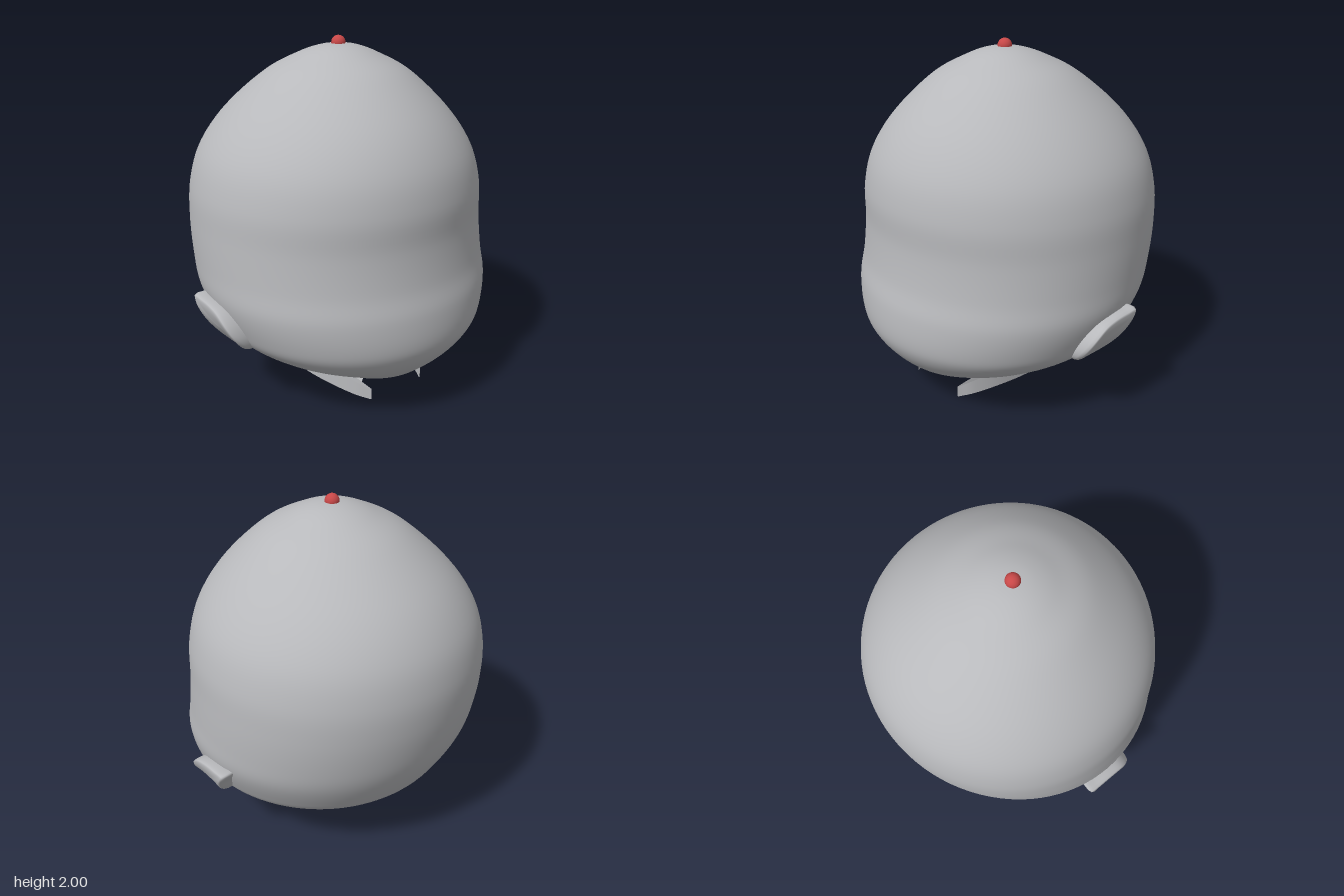
import * as THREE from 'three';
import { toCreasedNormals } from 'three/addons/utils/BufferGeometryUtils.js';

const V = (x, y, z) => new THREE.Vector3(x, y, z);

// Skin a list of equally long point rows, optionally closing each row into a ring
function loft(rows, closed) {
  const n = rows[0].length, index = [];
  for (let r = 0; r < rows.length - 1; r++) {
    for (let i = 0; i < (closed ? n : n - 1); i++) {
      const j = (i + 1) % n, a = r * n, b = a + n;
      index.push(a + i, b + i, b + j, a + i, b + j, a + j);
    }
  }
  const g = new THREE.BufferGeometry().setFromPoints(rows.flat());
  g.setIndex(index);
  g.computeVertexNormals();
  return g;
}

const curve = (pts, closed = false) =>
  new THREE.CatmullRomCurve3(pts.map(p => V(...p)), closed, 'catmullrom', 0.5);

// Head levels: height, half width, front z, back z
const LEVELS = [
  [1.96, 0, 0, 0], [1.945, 0.11, 0.11, -0.11], [1.9, 0.23, 0.23, -0.24],
  [1.8, 0.41, 0.41, -0.43], [1.6, 0.625, 0.62, -0.67], [1.4, 0.77, 0.745, -0.81],
  [1.2, 0.835, 0.795, -0.865], [1.0, 0.852, 0.797, -0.865], [0.8, 0.858, 0.82, -0.832],
  [0.65, 0.855, 0.855, -0.785], [0.5, 0.805, 0.864, -0.71], [0.4, 0.745, 0.84, -0.64],
  [0.3, 0.61, 0.77, -0.51], [0.2, 0.385, 0.66, -0.27], [0.16, 0.31, 0.595, -0.16],
  [0.12, 0.22, 0.535, -0.1], [0.11, 0.15, 0.45, -0.05], [0.115, 0, 0.2, 0.2],
];

function headGeometry() {
  const widths = curve(LEVELS.map(([y, w]) => [w, y, 0]));
  const depths = curve(LEVELS.map(([y, , f, b]) => [f, y, b]));
  const rows = [];
  const steps = (LEVELS.length - 1) * 6, around = 96;
  for (let s = 0; s <= steps; s++) {
    const p = widths.getPoint(s / steps), d = depths.getPoint(s / steps);
    const mid = (d.x + d.z) / 2, half = (d.x - d.z) / 2;
    rows.push(Array.from({ length: around }, (_, i) => {
      const a = (i / around) * Math.PI * 2;
      return V(p.x * Math.sin(a), p.y, mid + half * Math.cos(a));
    }));
  }
  return loft(rows, true);
}

// Teardrop ear on a slanting, rounded outer face
function earGeometry(side) {
  const outline = curve([
    [0, 0.648, -0.14], [0, 0.57, -0.1], [0, 0.46, -0.035], [0, 0.395, 0.04], [0, 0.378, 0.13],
    [0, 0.41, 0.2], [0, 0.48, 0.215], [0, 0.56, 0.185], [0, 0.62, 0.12], [0, 0.645, 0.03],
    [0, 0.652, -0.07],
  ], true).getPoints(66).slice(0, 66);
  const face = y => 0.91 - 1.95 * Math.max(0, 0.62 - y) ** 1.8;
  // Ring scale and offset from the outer face
  const rings = [[0.95, -0.12], [1, -0.06], [1, -0.025], [0.96, -0.006], [0.88, 0],
    [0.6, -0.004], [0.3, -0.006], [0, -0.006]];
  return loft(rings.map(([k, dx]) => outline.map(p => {
    const y = 0.52 + (p.y - 0.52) * k, z = 0.07 + (p.z - 0.07) * k;
    return V(side * (face(y) + dx), y, z);
  })), true);
}

// Curved sheet or band running through several guide curves
const band = (guides, side) => loft(guides.map(g =>
  curve(g.map(([x, y, z]) => [side * x, y, z])).getPoints(32)), false);

// Outer neck flange: a thin curved band with its lip turned down at the front
function flangeGeometry(side) {
  const path = [[0.19, 0.54], [0.245, 0.46], [0.295, 0.32], [0.318, 0.14], [0.312, -0.02], [0.265, -0.16]];
  const top = [0.1, 0.135, 0.165, 0.17, 0.17, 0.165];
  const low = [0.035, 0.05, 0.065, 0.065, 0.065, 0.08];
  const thick = [0.005, 0.03, 0.045, 0.045, 0.035, 0.005];
  const row = (ys, inset) => path.map(([x, z], i) => [x - inset * thick[i], ys[i], z]);
  return toCreasedNormals(band([row(top, 0), row(low, 0), row(low, 1), row(top, 1)], side), 0.7);
}

// Inner neck wall: a thin sheet curling inwards at its top
function wallGeometry(side) {
  const zs = [0.41, 0.36, 0.26, 0.1, 0, -0.04];
  const low = [0.055, 0.02, 0.004, 0.001, 0.01, 0.05];
  return band([
    zs.map(z => [0.1, 0.115, z]),
    zs.map(z => [0.135, 0.1, z]),
    zs.map(z => [0.15, 0.07, z]),
    zs.map((z, i) => [0.157, low[i], z]),
  ], side);
}

export function createModel() {
  const skin = new THREE.MeshStandardMaterial({ color: 0xb8b9bc, side: THREE.DoubleSide });
  skin.name = 'grey skin';
  const red = new THREE.MeshStandardMaterial({ color: 0xc84848 });
  red.name = 'red marker';

  const model = new THREE.Group();
  model.name = 'head model';
  const add = (name, geometry, material = skin) => {
    const mesh = new THREE.Mesh(geometry, material);
    mesh.name = name;
    model.add(mesh);
    return mesh;
  };

  add('head', headGeometry());
  for (const [label, side] of [['left', 1], ['right', -1]]) {
    add(label + 'Ear', earGeometry(side));
    add(label + 'NeckFlange', flangeGeometry(side));
    add(label + 'NeckWall', wallGeometry(side));
  }

  // Small balls at the crown and under the neck
  const ball = new THREE.SphereGeometry(0.04, 24, 16);
  add('crownBall', ball, red).position.y = 1.96;
  add('neckBall', ball).position.y = 0.095;
  return model;
}
